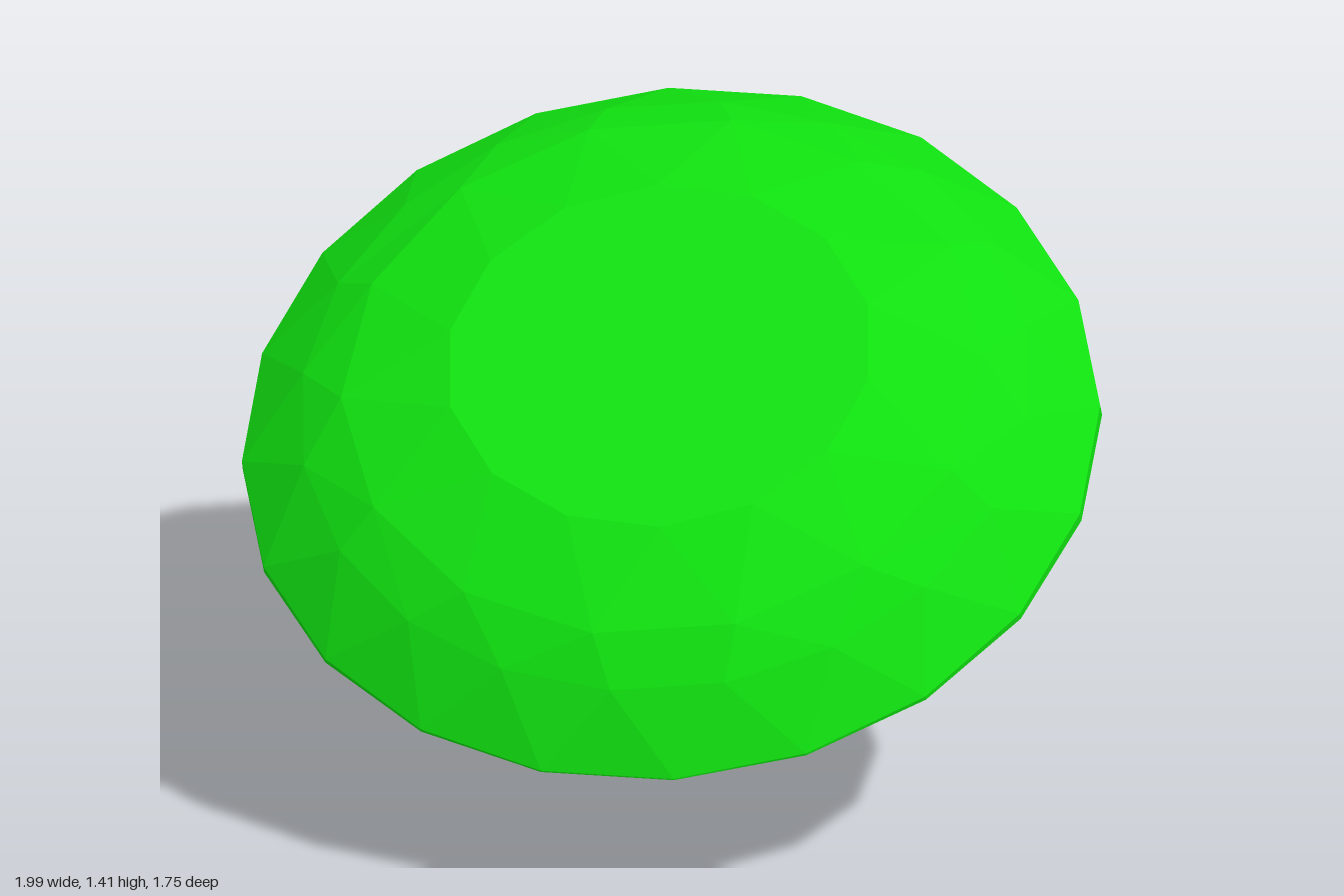
import * as THREE from 'three';

// A ring of n corners; "lift" raises the back of the ring relative to the front
function ring(n, start, r, h, lift = 0, cx = 0, cz = 0) {
  const at = (k) => {
    const a = start + (k % n) * Math.PI * 2 / n;
    return [cx + r * Math.sin(a), h + lift * (1 - Math.cos(a)) / 2, cz + r * Math.cos(a)];
  };
  return { n, at, angle: (k) => start + k * Math.PI * 2 / n };
}

// Triangulate the band between two rings, lower first, whatever their corner counts
function stitch(out, low, high) {
  const steps = (q) => (q.n > 1 ? q.n : 0);
  let i = 0, j = 0;
  while (i < steps(low) || j < steps(high)) {
    const useLow = j >= steps(high) || (i < steps(low) && low.angle(i + 1) <= high.angle(j + 1));
    if (useLow) {
      out.push(...low.at(i), ...low.at(i + 1), ...high.at(j));
      i++;
    } else {
      out.push(...low.at(i), ...high.at(j + 1), ...high.at(j));
      j++;
    }
  }
}

const material = new THREE.MeshStandardMaterial({ color: 0x10e010, flatShading: true });

function loft(name, rings) {
  const out = [];
  for (let k = 0; k + 1 < rings.length; k++) stitch(out, rings[k], rings[k + 1]);
  const geometry = new THREE.BufferGeometry();
  geometry.setAttribute('position', new THREE.Float32BufferAttribute(out, 3));
  geometry.computeVertexNormals();
  const mesh = new THREE.Mesh(geometry, material);
  mesh.name = name;
  return mesh;
}

export function createModel() {
  const group = new THREE.Group();
  group.name = 'gemstone';
  const gem = new THREE.Group();
  gem.name = 'tiltedGem';

  const first = 0.1, step = Math.PI / 10;
  const girdleLow = ring(20, first, 1.003, 0);
  const girdleHigh = ring(20, first, 1.002, 0.003, 0.057);
  const table = ring(14, first, 0.5, 0.315, 0.018);

  // Pointed underside: culet, short lower facets, long main facets
  gem.add(loft('pavilion', [
    ring(1, 0, 0, -0.97, 0, 0.027, -0.066),
    ring(8, first, 0.275, -0.715, 0.02, 0.02, -0.03),
    girdleLow,
  ]));
  // Thin rim, thicker towards the back
  gem.add(loft('girdle', [girdleLow, girdleHigh]));
  // Faceted crown
  gem.add(loft('crown', [
    girdleHigh,
    ring(20, first + step / 2, 0.855, 0.15, 0.045),
    ring(14, first + Math.PI / 14, 0.75, 0.225, 0.04),
    table,
  ]));
  // Flat top facet
  gem.add(loft('table', [table, ring(1, 0, 0, 0.324)]));

  // The stone leans forward, resting on its point
  gem.rotation.set(0.508, 0, 0.044);
  gem.position.y = 0.815;
  group.add(gem);
  return group;
}
